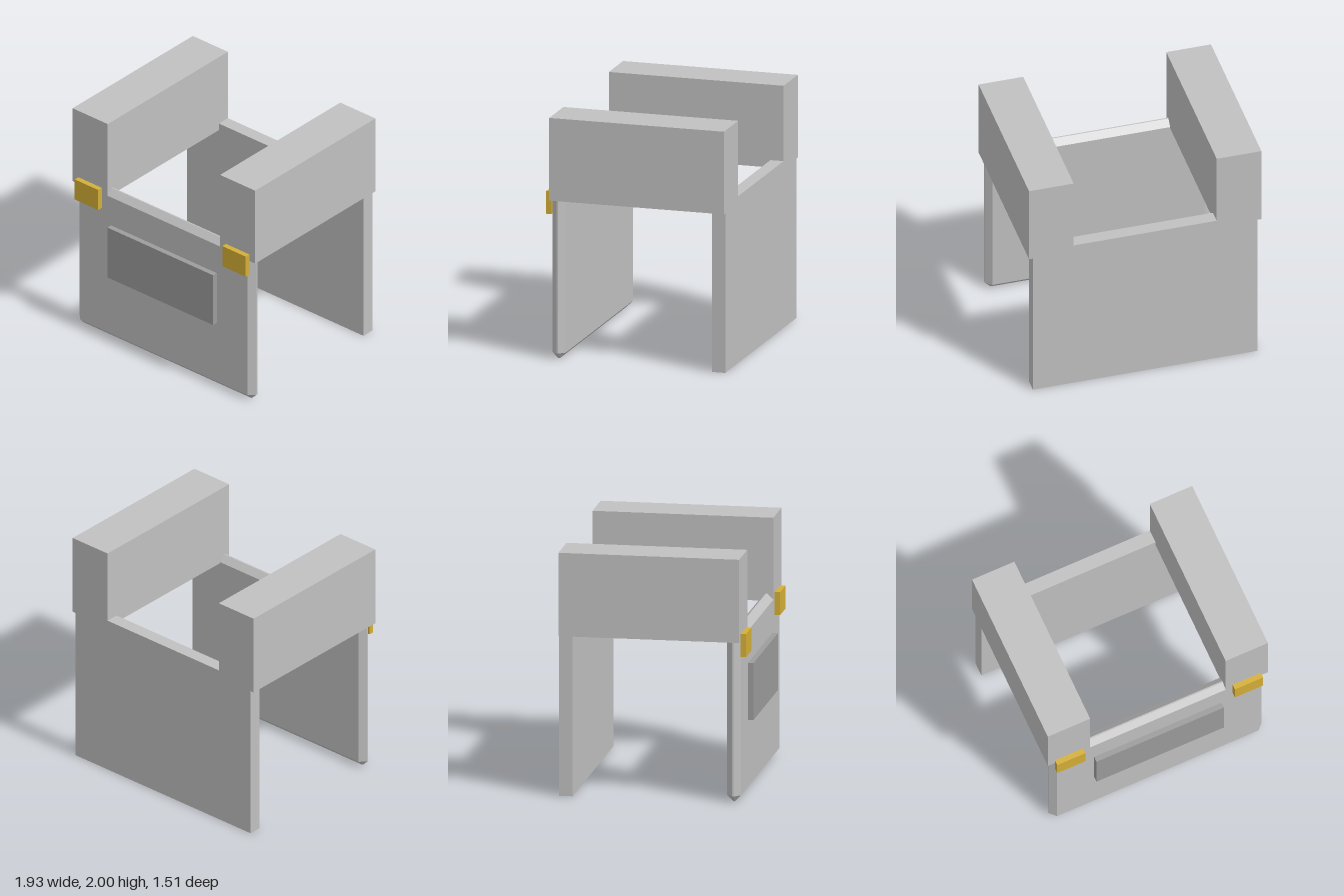
import * as THREE from 'three';
import { ConvexGeometry } from 'three/addons/geometries/ConvexGeometry.js';

const silver = new THREE.MeshStandardMaterial({ color: 0xc0c0c0 });
silver.name = 'silver';
const grey = new THREE.MeshStandardMaterial({ color: 0x9c9c9c });
grey.name = 'grey';
const gold = new THREE.MeshStandardMaterial({ color: 0xd4af37 });
gold.name = 'gold';

// Box given by its lower and upper limits on each axis
function box(name, material, [x0, x1], [y0, y1], [z0, z1]) {
  const mesh = new THREE.Mesh(new THREE.BoxGeometry(x1 - x0, y1 - y0, z1 - z0), material);
  mesh.position.set((x0 + x1) / 2, (y0 + y1) / 2, (z0 + z1) / 2);
  mesh.name = name;
  return mesh;
}

// Box with every edge and corner chamfered: each corner becomes three points
function chamferedBox(name, material, w, h, d, c) {
  const points = [];
  for (const sx of [-1, 1]) for (const sy of [-1, 1]) for (const sz of [-1, 1]) {
    for (let axis = 0; axis < 3; axis++) {
      const half = [w / 2 - c, h / 2 - c, d / 2 - c];
      half[axis] += c;
      points.push(new THREE.Vector3(sx * half[0], sy * half[1], sz * half[2]));
    }
  }
  const mesh = new THREE.Mesh(new ConvexGeometry(points), material);
  mesh.name = name;
  return mesh;
}

export function createModel() {
  const model = new THREE.Group();
  model.name = 'chestArmor';

  const back = -0.757, front = 0.712, detail = 0.757;

  // Front and back panels
  const chest = chamferedBox('chestPanel', silver, 1.87, 1.378, 0.112, 0.05);
  chest.position.set(0, 0.689, front - 0.056);
  model.add(chest);
  model.add(box('backPanel', silver, [-0.935, 0.935], [0, 1.378], [back, -0.647]));

  // Shoulder blocks with clasps
  for (const [side, s] of [['left', 1], ['right', -1]]) {
    const span = (a, b) => (s > 0 ? [a, b] : [-b, -a]);
    model.add(box(side + 'Shoulder', silver, span(0.595, 0.967), [1.317, 2], [back, front]));
    model.add(box(side + 'Clasp', gold, span(0.657, 0.905), [1.19, 1.378], [front, detail]));
  }

  // Raised chest plate
  model.add(box('chestPlate', grey, [-0.56, 0.56], [0.598, 1.065], [front, detail]));

  return model;
}
